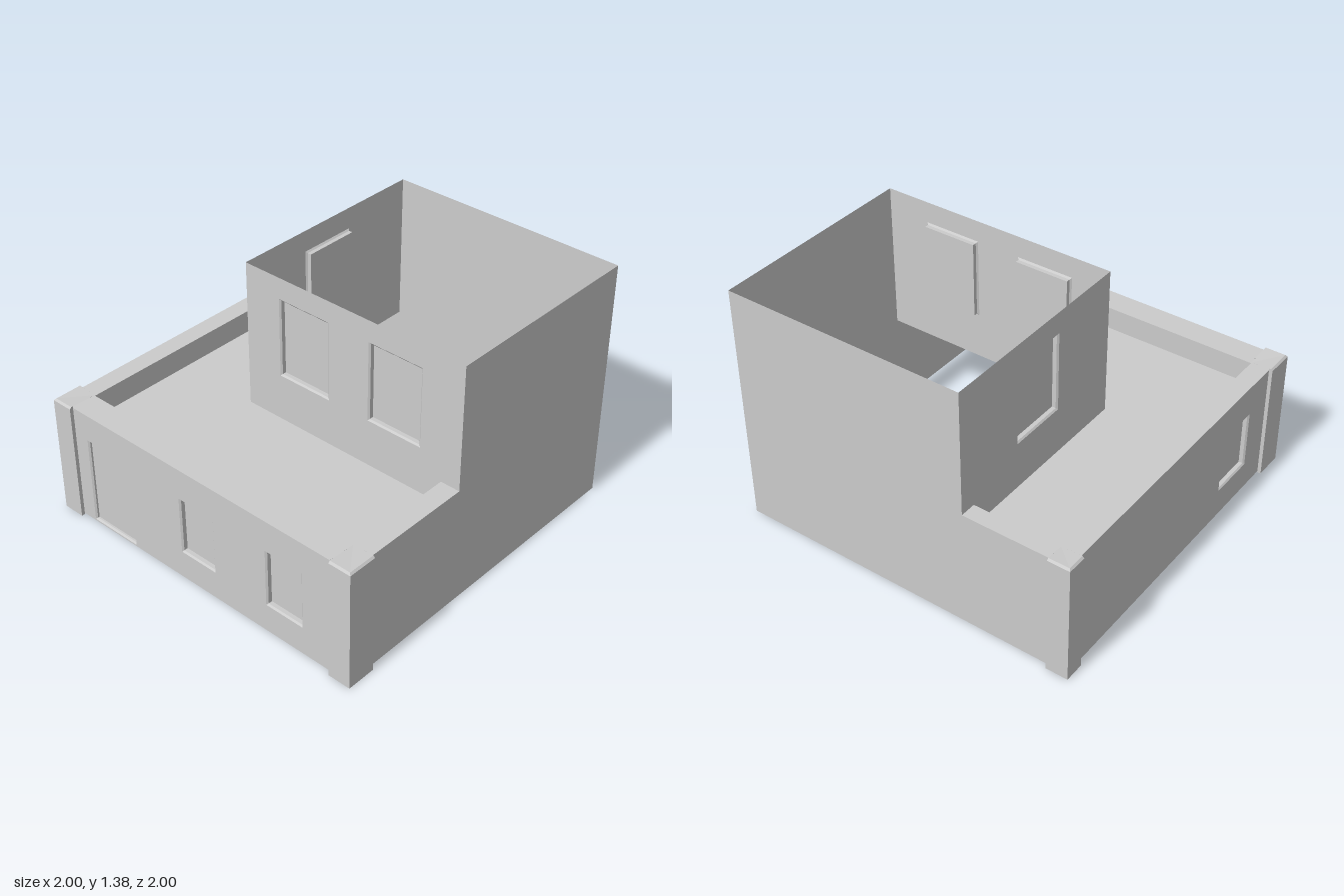
import * as THREE from 'three';

const mat = new THREE.MeshStandardMaterial({ color: 0xcccccc, side: THREE.DoubleSide, flatShading: true });

function mesh(name, geometry) {
  const m = new THREE.Mesh(geometry, mat);
  m.name = name;
  return m;
}

// Skin a surface across a list of equally long point rows
function loft(rows, closed = false) {
  const pos = [];
  const n = rows[0].length;
  for (let r = 0; r < rows.length - 1; r++) {
    for (let i = 0; i < (closed ? n : n - 1); i++) {
      const j = (i + 1) % n;
      const a = rows[r][i], b = rows[r][j], c = rows[r + 1][j], d = rows[r + 1][i];
      pos.push(...a, ...b, ...c, ...a, ...c, ...d);
    }
  }
  const g = new THREE.BufferGeometry();
  g.setAttribute('position', new THREE.Float32BufferAttribute(pos, 3));
  g.computeVertexNormals();
  return g;
}

const rect = (u0, u1, v0, v1) => [[u0, v0], [u1, v0], [u1, v1], [u0, v1]];
const toShape = pts => new THREE.Shape(pts.map(p => new THREE.Vector2(...p)));

// Recessed window or door: sloped lip, straight reveal and flat pane
function recess(name, [u0, u1, v0, v1], depth) {
  const g = new THREE.Group();
  g.name = name;
  const ring = (inset, z) =>
    rect(u0 + inset, u1 - inset, v0 + inset, v1 - inset).map(p => [...p, z]);
  g.add(mesh('reveal', loft([ring(0, 0), ring(0.009, -0.008), ring(0.009, -depth)], true)));
  const pane = mesh('pane', new THREE.PlaneGeometry(u1 - u0 - 0.018, v1 - v0 - 0.018));
  pane.position.set((u0 + u1) / 2, (v0 + v1) / 2, -depth);
  g.add(pane);
  return g;
}

// Thin wall in its own plane, outward along local z, with recessed openings
function wall(name, outline, openings = []) {
  const g = new THREE.Group();
  g.name = name;
  const shape = toShape(outline);
  for (const o of openings) {
    shape.holes.push(new THREE.Path(rect(...o.box).map(p => new THREE.Vector2(...p))));
    g.add(recess(o.name, o.box, o.depth ?? 0.03));
  }
  g.add(mesh('wallSheet', new THREE.ShapeGeometry(shape)));
  return g;
}

const W = 0.98;                       // outer wall faces
const XL = -0.875, XR = 0.87;         // inner faces of the parapet
const ZB = -0.89, ZF = 0.835;
const TX = -0.387, TZ = 0.213;        // tower faces above the terrace
const BASE = 0.008, FLOOR = 0.55, RIM = 0.68, TOP = 1.38;

// Hollow corner pier, standing slightly proud of the walls
function pier(name, sx, sz, xi, zi) {
  const path = (e, y) => [
    [sx * W, y, zi], [sx * e, y, zi], [sx * e, y, sz * e], [xi, y, sz * e], [xi, y, sz * W]
  ];
  const centre = path(1, 0).map(() => [xi, 0.684, zi]);
  return mesh(name, loft([path(1, 0), path(1, 0.68), path(0.99, 0.69), centre]));
}

export function createModel() {
  const model = new THREE.Group();
  model.name = 'house';

  // Ground floor front with door and two windows
  const front = wall('frontWall', rect(XL, XR, BASE, RIM), [
    { name: 'door', box: [-0.785, -0.47, 0.016, 0.523], depth: 0.018 },
    { name: 'frontWindow', box: [-0.122, 0.113, 0.17, 0.503] },
    { name: 'frontWindow', box: [0.455, 0.69, 0.17, 0.503] }
  ]);
  front.position.z = W;

  // Side wall with one window
  const side = wall('sideWall', rect(ZB, ZF, BASE, RIM), [
    { name: 'sideWindow', box: [0.395, 0.665, 0.17, 0.503] }
  ]);
  side.rotation.y = -Math.PI / 2;
  side.position.x = -W;

  // Blank stepped walls rising to the full tower height
  const stepped = (low, step, end) => [
    [end, BASE], [low, BASE], [low, RIM], [step, RIM], [step, TOP], [end, TOP]
  ];
  const right = wall('steppedSideWall', stepped(-ZF, -TZ, W));
  right.rotation.y = Math.PI / 2;
  right.position.x = W;
  const back = wall('steppedBackWall', stepped(-XL, -TX, -W));
  back.rotation.y = Math.PI;
  back.position.z = -W;

  // Tower walls over the terrace
  const towerFront = wall('towerFrontWall', rect(TX, W, FLOOR, TOP), [
    { name: 'towerWindow', box: [-0.167, 0.16, 0.813, 1.26] },
    { name: 'towerWindow', box: [0.41, 0.737, 0.813, 1.26] }
  ]);
  towerFront.position.z = TZ;
  const towerSide = wall('towerSideWall', rect(-W, TZ, FLOOR, TOP), [
    { name: 'towerSideWindow', box: [-0.547, -0.213, 0.813, 1.26] }
  ]);
  towerSide.rotation.y = -Math.PI / 2;
  towerSide.position.x = TX;

  model.add(front, side, right, back, towerFront, towerSide);

  // L-shaped terrace floor (shape y becomes -z)
  const inner = [[TX, ZB], [XL, ZB], [XL, ZF], [XR, ZF], [XR, TZ]];
  const floor = new THREE.ShapeGeometry(toShape([...inner, [TX, TZ]].map(([x, z]) => [x, -z])));
  floor.rotateX(-Math.PI / 2).translate(0, FLOOR, 0);
  model.add(mesh('terraceFloor', floor));

  // Parapet cap and its inner face
  const outer = [[TX, -W], [-W, -W], [-W, W], [W, W], [W, TZ]];
  const lift = (path, y) => path.map(([x, z]) => [x, y, z]);
  model.add(mesh('parapet', loft([lift(outer, RIM), lift(inner, RIM), lift(inner, FLOOR)])));

  // Corner piers
  model.add(
    pier('frontRightPier', -1, 1, XL, ZF),
    pier('frontLeftPier', 1, 1, XR, ZF),
    pier('backRightPier', -1, -1, XL, ZB)
  );
  return model;
}
